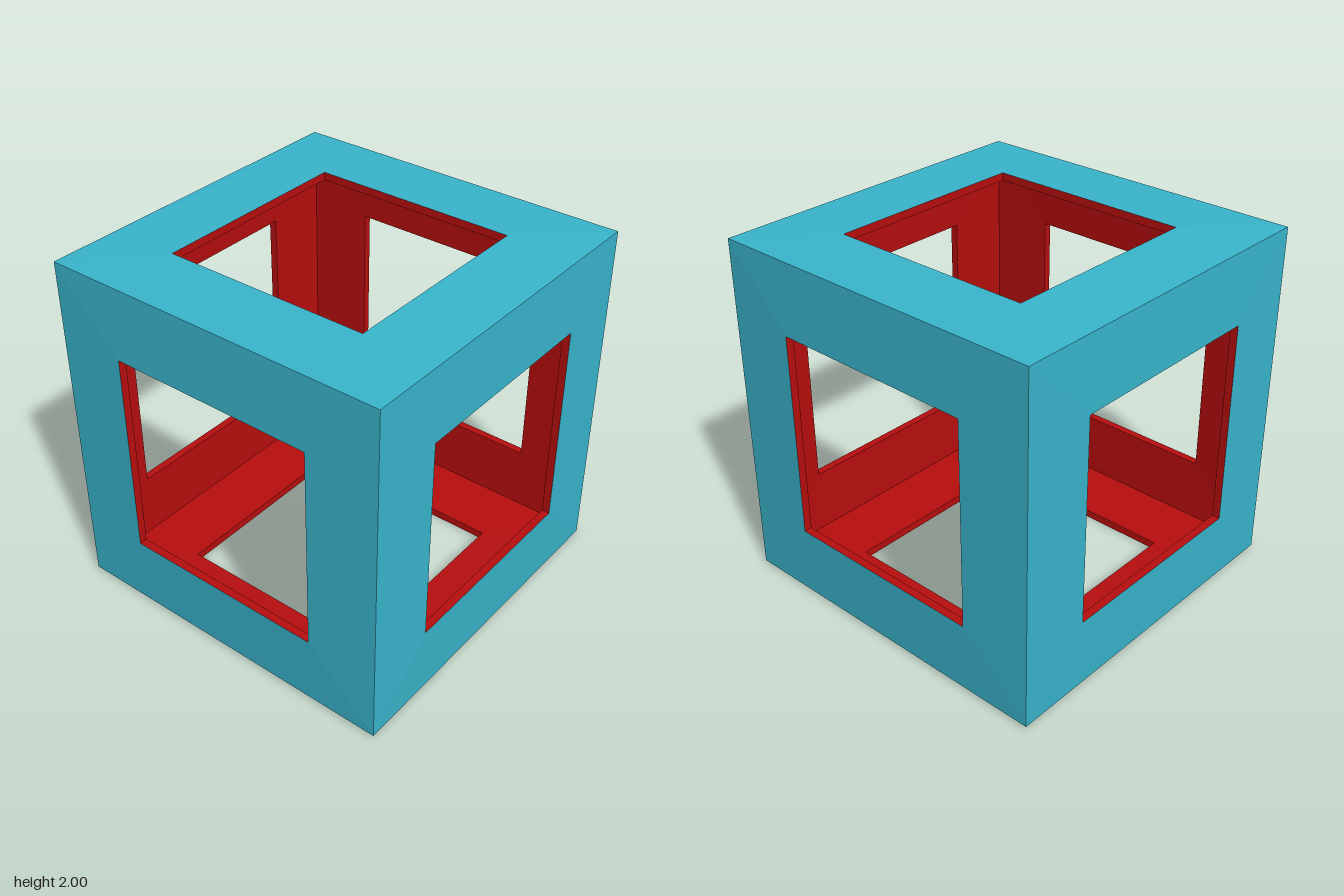
import * as THREE from 'three';

const HOLE = 0.587;   // half width of each window
const EDGE = 0.99;    // half width of the cube at its edges
const INNER = 0.945;  // half width of the cavity
const RIM = 0.955;    // depth reached by the window rim

// Sweeps a profile of [half width, height] points round a square.
function squareRing(profile, material, name) {
  const points = profile.map(([half, y]) => new THREE.Vector2(half * Math.SQRT2, y));
  const mesh = new THREE.Mesh(new THREE.LatheGeometry(points, 4, Math.PI / 4), material);
  mesh.name = name;
  return mesh;
}

export function createModel() {
  const model = new THREE.Group();
  model.name = 'hollowCube';
  const teal = new THREE.MeshStandardMaterial({ color: 0x39b5cc, flatShading: true });
  const red = new THREE.MeshStandardMaterial({ color: 0xb80e0e, flatShading: true });

  const cube = new THREE.Group();
  cube.name = 'cubeFrame';
  cube.position.y = 1;
  model.add(cube);

  // One window frame per side, each turned from the top position
  const q = Math.PI / 2;
  const sides = [
    ['top', 0, 0], ['front', q, 0], ['bottom', 2 * q, 0],
    ['back', -q, 0], ['left', 0, -q], ['right', 0, q],
  ];
  for (const [side, rx, rz] of sides) {
    const panel = new THREE.Group();
    panel.name = `${side}Panel`;
    panel.rotation.set(rx, 0, rz);
    // Outer face rises slightly towards the window
    panel.add(squareRing([[EDGE, EDGE], [HOLE, 1]], teal, `${side}OuterFace`));
    // Window rim and the lining of the cavity
    panel.add(squareRing([[HOLE, 1], [HOLE, RIM]], red, `${side}WindowRim`));
    panel.add(squareRing([[HOLE, RIM], [INNER, INNER]], red, `${side}Lining`));
    cube.add(panel);
  }
  return model;
}
